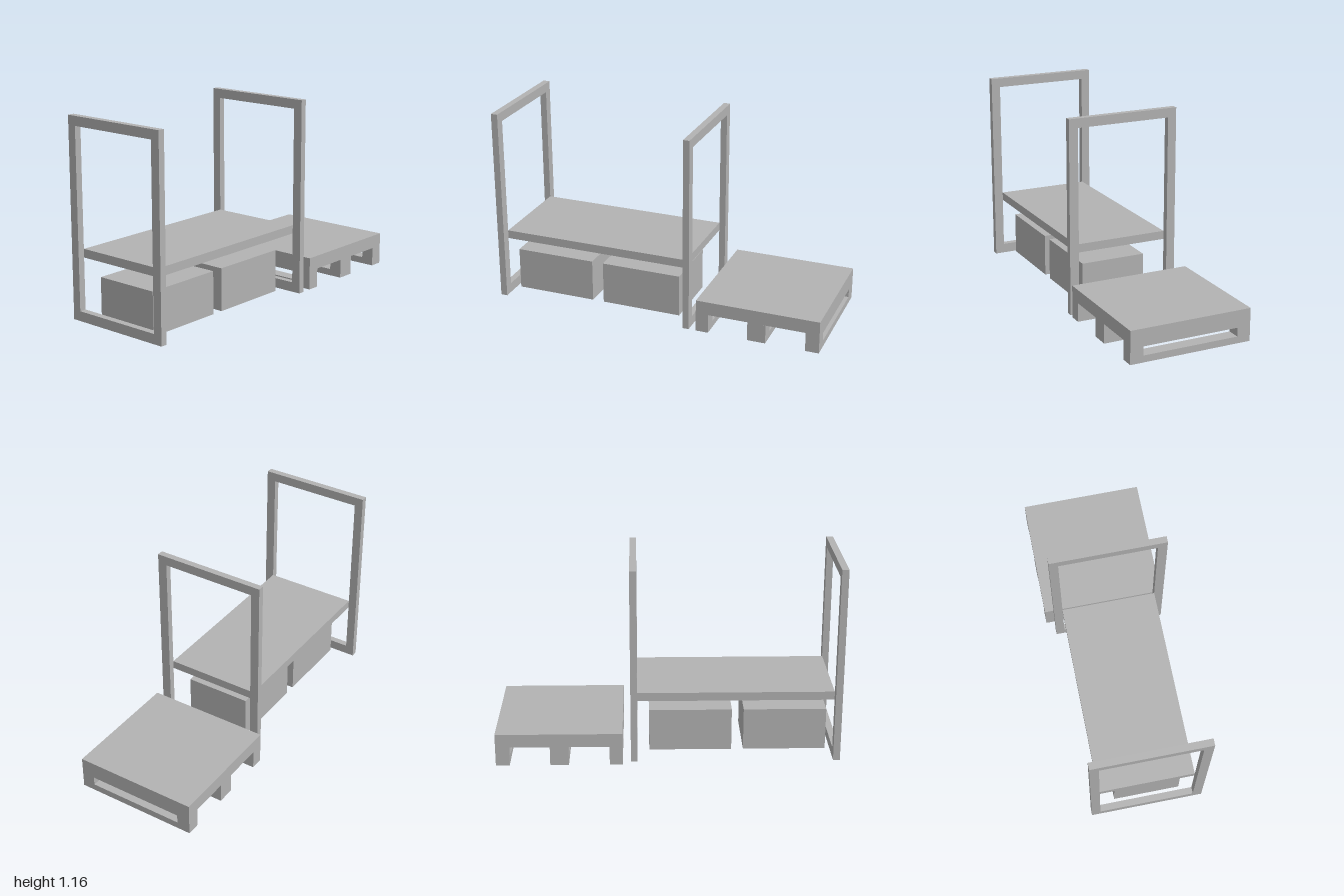
import * as THREE from 'three';

export function createModel() {
  const model = new THREE.Group();
  model.name = 'platformTrolley';
  const grey = new THREE.MeshStandardMaterial({ color: 0xb2b2b2 });
  grey.name = 'plain grey';

  const add = (name, geometry) => {
    const mesh = new THREE.Mesh(geometry, grey);
    mesh.name = name;
    model.add(mesh);
  };

  // Box given by its limits on each axis
  const box = (name, [x0, x1], [y0, y1], [z0, z1]) => add(name,
    new THREE.BoxGeometry(x1 - x0, y1 - y0, z1 - z0)
      .translate((x0 + x1) / 2, (y0 + y1) / 2, (z0 + z1) / 2));

  // Upright panel across z with a rectangular opening, extruded along x
  const rect = (Type, [y0, y1], [z0, z1]) => {
    const r = new Type();
    r.moveTo(-z1, y0).lineTo(-z0, y0).lineTo(-z0, y1).lineTo(-z1, y1).closePath();
    return r;
  };
  const panel = (name, [x0, x1], y, z, holeY, holeZ) => {
    const shape = rect(THREE.Shape, y, z);
    shape.holes.push(rect(THREE.Path, holeY, holeZ));
    add(name, new THREE.ExtrudeGeometry(shape, { depth: x1 - x0, bevelEnabled: false })
      .rotateY(Math.PI / 2).translate(x0, 0, 0));
  };

  // Two tall end frames and the shelf between them
  const frameZ = [-0.317, 0.357], innerZ = [-0.265, 0.302];
  panel('rightEndFrame', [-1, -0.96], [0, 1.16], frameZ, [0.058, 1.105], innerZ);
  panel('leftEndFrame', [0.182, 0.22], [0, 1.16], frameZ, [0.058, 1.105], innerZ);
  box('shelf', [-0.96, 0.182], [0.36, 0.41], innerZ);

  // Two crates under the shelf
  box('rightCrate', [-0.93, -0.444], [0.006, 0.26], [-0.167, 0.23]);
  box('leftCrate', [-0.374, 0.112], [0.006, 0.26], [-0.167, 0.23]);

  // Pallet: solid deck on three slotted runners
  const palletZ = [-0.367, 0.367];
  box('palletDeck', [0.267, 1], [0.12, 0.2], palletZ);
  for (const x of [[0.267, 0.342], [0.578, 0.686], [0.92, 1]])
    panel('palletRunner', x, [0.006, 0.12], palletZ, [0.046, 0.098], [-0.287, 0.29]);

  return model;
}
